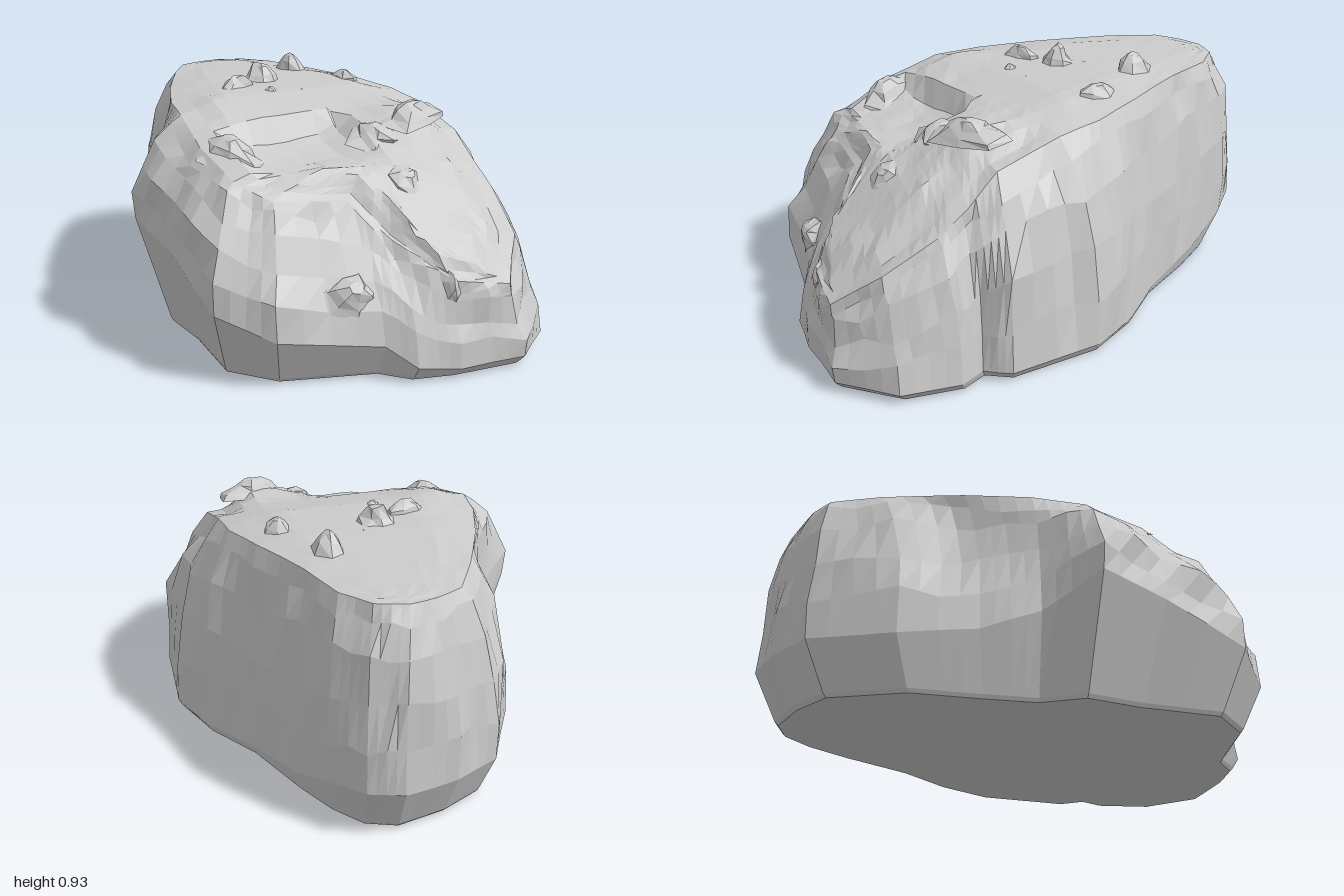
import * as THREE from 'three';

// Outline stations, clockwise from the back: widest x, z, y, then rim x, z, y
const STATIONS = [
  [0.1, -1, 0.2, 0.06, -0.88, 0.84], [0.22, -0.95, 0.2, 0.17, -0.84, 0.84],
  [0.31, -0.82, 0.18, 0.25, -0.73, 0.84], [0.38, -0.62, 0.1, 0.31, -0.52, 0.84],
  [0.48, -0.33, 0.05, 0.41, -0.25, 0.83], [0.61, -0.12, 0.04, 0.47, -0.04, 0.81],
  [0.69, 0.1, 0.04, 0.48, 0.14, 0.79], [0.67, 0.46, 0.04, 0.48, 0.4, 0.72],
  [0.6, 0.54, 0.04, 0.49, 0.52, 0.62], [0.63, 0.64, 0.04, 0.49, 0.64, 0.54],
  [0.57, 0.85, 0.04, 0.44, 0.83, 0.43], [0.38, 1, 0.04, 0.32, 0.97, 0.31],
  [0.12, 0.98, 0.04, 0.12, 0.93, 0.34], [-0.03, 0.95, 0.06, -0.03, 0.76, 0.46],
  [-0.12, 0.88, 0.13, -0.13, 0.64, 0.58], [-0.48, 0.79, 0.18, -0.4, 0.6, 0.6],
  [-0.64, 0.64, 0.25, -0.5, 0.5, 0.66], [-0.66, 0.32, 0.38, -0.53, 0.3, 0.74],
  [-0.7, 0.06, 0.44, -0.51, 0.07, 0.81], [-0.54, -0.11, 0.32, -0.47, -0.12, 0.82],
  [-0.48, -0.32, 0.24, -0.38, -0.36, 0.83], [-0.43, -0.6, 0.2, -0.24, -0.64, 0.84],
  [-0.27, -0.88, 0.2, -0.14, -0.81, 0.84], [-0.1, -0.96, 0.2, -0.04, -0.86, 0.84],
];
// Ridge line running from back to front: z, y
const CREST = [[-1, 0.84], [-0.3, 0.86], [0, 0.85], [0.2, 0.81], [0.4, 0.76], [0.6, 0.66], [0.85, 0.45], [1, 0.31]];
const SPLIT = 4, COLUMNS = STATIONS.length * SPLIT, ROOF_ROWS = 8;
const { lerp, smoothstep } = THREE.MathUtils;
const bell = (d, width) => Math.exp(-((d / width) ** 2));

// Repeatable jitter in -1..1
function noise(a, b) {
  const s = Math.sin(a * 127.1 + b * 311.7) * 43758.5453;
  return (s - Math.floor(s)) * 2 - 1;
}

// Jitter shared by neighbouring columns, for broad facets
function wobble(j, b) {
  const k = Math.floor(j / 2), next = (k + 1) % (COLUMNS / 2);
  return j % 2 ? (noise(k, b) + noise(next, b)) / 2 : noise(k, b);
}

function roofHeight(x, z) {
  let i = 0;
  while (i < CREST.length - 2 && z > CREST[i + 1][0]) i++;
  const [z0, y0] = CREST[i], [z1, y1] = CREST[i + 1];
  const y = lerp(y0, y1, (z - z0) / (z1 - z0));
  // sunken terrace on the front right
  const terrace = smoothstep(z, 0.22, 0.27) * (1 - smoothstep(z, 0.36, 0.6)) * (1 - smoothstep(x, 0, 0.08)) * smoothstep(x, -0.44, -0.38);
  // raised shoulders either side of it
  const shoulders = 0.05 * bell(x - 0.29, 0.14) * bell(z - 0.37, 0.13) + 0.035 * bell(x + 0.4, 0.1) * bell(z - 0.08, 0.15);
  return y - 0.08 * terrace + shoulders;
}

// One column of the boulder, from the bottom centre over the side to the crest
function column(j) {
  const k = Math.floor(j / SPLIT), f = (j % SPLIT) / SPLIT;
  const a = STATIONS[k], b = STATIONS[(k + 1) % STATIONS.length];
  const [wx, wz, wy, rx, rz, ry] = a.map((v, i) => lerp(v, b[i], f));
  const inset = 1 - 0.45 * wy, bulge = lerp(3, 1.6, smoothstep(wz, 0.5, 0.75));
  const pts = [[0, 0, 0], [wx * inset * 0.985, 0.005, wz * inset * 0.985], [wx * inset, 0.02, wz * inset]];
  for (const t of [0, 0.25, 0.5, 0.75, 0.9, 1]) {
    const u = t ** bulge, inner = t > 0 && t < 1 ? 1 : 0;
    const x = lerp(wx, rx, u), y = lerp(wy, ry, t), z = lerp(wz, rz, u);
    // hollow in the right flank, upright clefts in the left flank
    let dent = 0;
    if (x < -0.2) dent = 0.16 * inner * bell(z + 0.4, 0.16) * bell(y - 0.62, 0.15) + 0.05 * bell(z + 0.1, 0.1) * bell(y - 0.5, 0.18);
    if (x > 0.3) {
      dent = 0.04 * inner * (bell(z - 0.55, 0.04) + bell(z - 0.18, 0.04) + bell(z + 0.18, 0.06) * bell(y - 0.55, 0.17) + bell(z + 0.56, 0.04));
    }
    const r = 1 - dent + (inner ? 0.026 : 0.006) * wobble(j, t * 7);
    pts.push([x * r, y + inner * 0.025 * wobble(j, t * 5 + 30), z * (1 + (r - 1) * 0.6)]);
  }
  for (let s = 1; s <= ROOF_ROWS; s++) {
    const q = s / ROOF_ROWS;
    const x = lerp(rx, 0.03, q), z = lerp(rz, rz * 0.84, q) + 0.012 * (1 - q) * wobble(j, s + 40);
    const rough = z > 0.15 ? 0.016 : 0.004;
    const y = lerp(ry, roofHeight(x, z), Math.min(1, q * 2.4));
    pts.push([x, y + (1 - q) * rough * wobble(j, s + 60), z]);
  }
  return pts;
}

function boulderGeometry() {
  const position = [], index = [];
  let rows = 0;
  for (let j = 0; j < COLUMNS; j++) {
    const pts = column(j);
    rows = pts.length;
    position.push(...pts.flat());
  }
  for (let j = 0; j < COLUMNS; j++) {
    for (let i = 0; i < rows - 1; i++) {
      const a = j * rows + i, b = ((j + 1) % COLUMNS) * rows + i;
      index.push(a, a + 1, b, b, a + 1, b + 1);
    }
  }
  const g = new THREE.BufferGeometry();
  g.setAttribute('position', new THREE.Float32BufferAttribute(position, 3));
  g.setIndex(index);
  g.computeVertexNormals();
  return g;
}

// Blunt angular peak with a wide foot that sinks into the surface
function peakGeometry(seed) {
  const sides = 7;
  const profile = [[1.25, -0.4], [1, 0], [0.65, 0.5], [0.3, 0.92], [0, 1]].map(([r, y]) => new THREE.Vector2(r, y));
  const g = new THREE.LatheGeometry(profile, sides);
  const p = g.attributes.position;
  for (let i = 0; i < p.count; i++) {
    const row = i % profile.length, side = Math.floor(i / profile.length) % sides;
    const r = 1 + 0.25 * noise(side + 1, row + seed * 9);
    p.setXYZ(i, p.getX(i) * r, p.getY(i) + (row < 4 ? 0.1 * noise(side + 20, row + seed) : 0), p.getZ(i) * r);
  }
  g.computeVertexNormals();
  return g;
}

export function createModel() {
  const group = new THREE.Group();
  group.name = 'boulder';
  const material = new THREE.MeshStandardMaterial({ color: 0xcccccc, flatShading: true });
  const add = (geometry, name) => {
    const mesh = new THREE.Mesh(geometry, material);
    mesh.name = name;
    group.add(mesh);
    return mesh;
  };
  add(boulderGeometry(), 'rockBody');

  // Peaks: x, y, z of the foot, half width, height, half depth, turn, lean forward
  const peaks = [
    [0.19, 0.845, -0.41, 0.06, 0.08, 0.08, 0.2, 0], [-0.04, 0.84, -0.22, 0.07, 0.085, 0.09, 0.5, 0],
    [-0.18, 0.84, -0.14, 0.1, 0.06, 0.05, 0.4, 0], [0.31, 0.83, -0.15, 0.06, 0.05, 0.1, 0, 0],
    [-0.09, 0.84, -0.03, 0.03, 0.025, 0.03, 0, 0], [0.29, 0.8, 0.39, 0.12, 0.05, 0.08, 0.4, 0.2],
    [0.12, 0.74, 0.42, 0.1, 0.04, 0.1, 0.3, 0.4], [0.11, 0.62, 0.62, 0.09, 0.04, 0.09, 0, 0.6],
    [-0.44, 0.72, 0.34, 0.08, 0.06, 0.12, 0.3, 0.2], [-0.24, 0.62, 0.5, 0.09, 0.04, 0.08, 0.7, 0.3],
    [-0.2, 0.31, 0.79, 0.09, 0.05, 0.07, 0, 0.9], [0.12, 0.32, 0.91, 0.03, 0.03, 0.07, 0, 1.2],
  ];
  peaks.forEach(([x, y, z, width, height, depth, turn, lean], i) => {
    const peak = add(peakGeometry(i + 1), 'rockPeak' + (i + 1));
    peak.position.set(x, y, z);
    peak.scale.set(width, height, depth);
    peak.rotation.set(lean, turn, 0);
  });
  return group;
}
